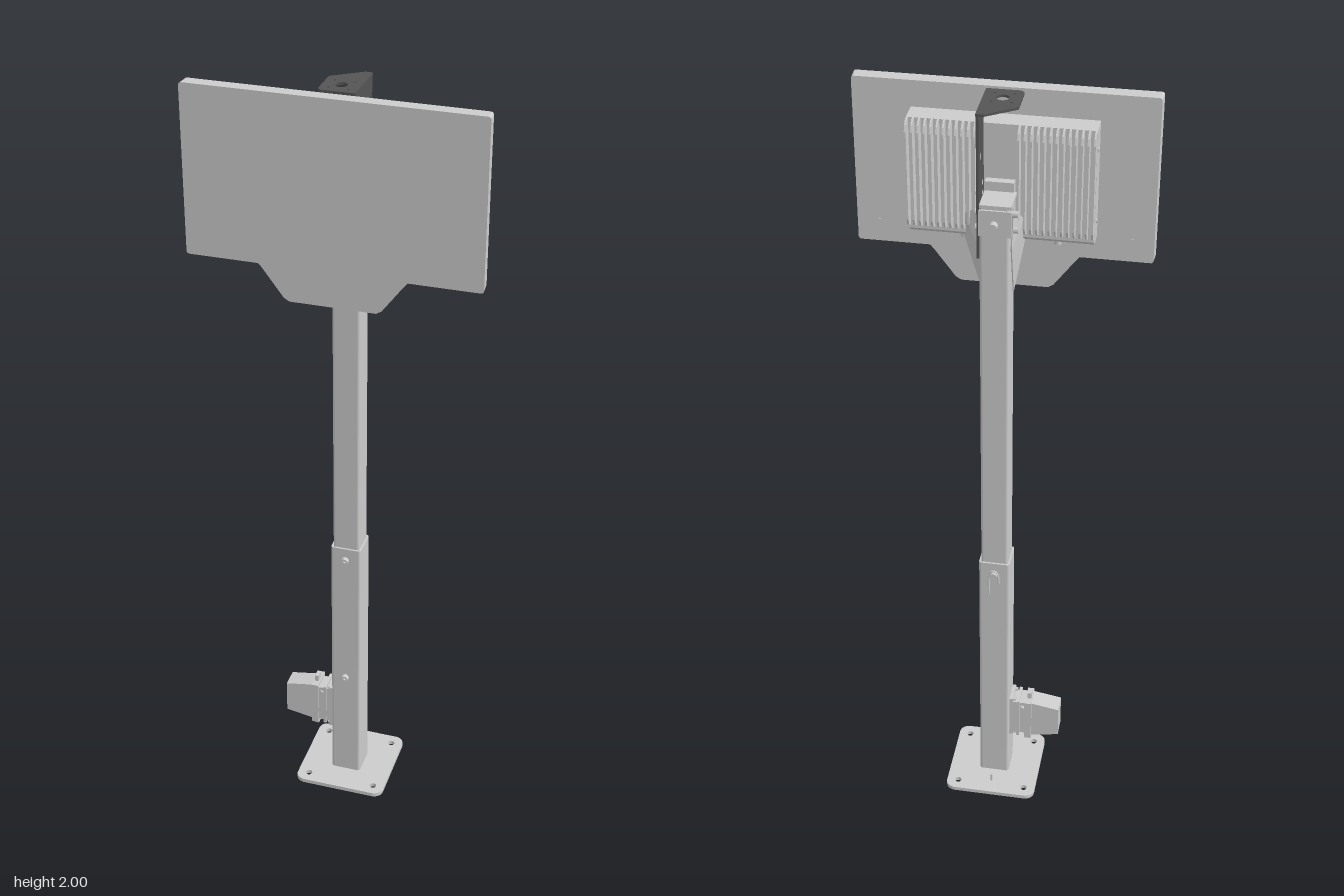
import * as THREE from 'three';
import { ConvexGeometry } from 'three/addons/geometries/ConvexGeometry.js';

const grey = new THREE.MeshStandardMaterial({ color: 0xcccccc });
const dark = new THREE.MeshStandardMaterial({ color: 0x555555 });

const poly = (pts) => new THREE.Shape(pts.map((p) => new THREE.Vector2(p[0], p[1])));

function roundRect(w, h, r, cx = 0, cy = 0) {
  const s = new THREE.Shape();
  const x = w / 2 - r, y = h / 2 - r;
  s.absarc(cx + x, cy + y, r, 0, Math.PI / 2);
  s.absarc(cx - x, cy + y, r, Math.PI / 2, Math.PI);
  s.absarc(cx - x, cy - y, r, Math.PI, Math.PI * 1.5);
  s.absarc(cx + x, cy - y, r, Math.PI * 1.5, Math.PI * 2);
  s.closePath();
  return s;
}

function drill(shape, x, y, r) {
  shape.holes.push(new THREE.Path().absarc(x, y, r, 0, Math.PI * 2, true));
}

const extrude = (shape, depth) =>
  new THREE.ExtrudeGeometry(shape, { depth, bevelEnabled: false, curveSegments: 8 });

// shape drawn in (x, -z), raised from y0 to y1
const upright = (shape, y0, y1) => extrude(shape, y1 - y0).rotateX(-Math.PI / 2).translate(0, y0, 0);
// shape drawn in (z, y), running from x0 to x1
const sideways = (shape, x0, x1) => extrude(shape, x1 - x0).rotateY(-Math.PI / 2).translate(x1, 0, 0);
const box = (x0, x1, y0, y1, z0, z1) => new THREE.BoxGeometry(x1 - x0, y1 - y0, z1 - z0)
  .translate((x0 + x1) / 2, (y0 + y1) / 2, (z0 + z1) / 2);

function rod(r, len, axis, x, y, z, sides = 16) {
  const g = new THREE.CylinderGeometry(r, r, len, sides);
  if (axis === 'x') g.rotateZ(Math.PI / 2);
  if (axis === 'z') g.rotateX(Math.PI / 2);
  return g.translate(x, y, z);
}

const hull = (pts) => new ConvexGeometry(pts.map((p) => new THREE.Vector3(...p)));

export function createModel() {
  const root = new THREE.Group();
  const group = (name) => {
    const g = new THREE.Group();
    g.name = name;
    root.add(g);
    return g;
  };
  const add = (name, geo, parent = root, mat = grey) => {
    const m = new THREE.Mesh(geo, mat);
    m.name = name;
    parent.add(m);
    return m;
  };

  // Base plate with four bolt holes and an earth stud
  const base = roundRect(0.245, 0.245, 0.026, 0, 0.012);
  for (const x of [-0.092, 0.092]) for (const y of [-0.08, 0.104]) drill(base, x, y, 0.009);
  drill(base, 0, 0.012, 0.006);
  add('basePlate', upright(base, 0, 0.011));
  add('earthStud', rod(0.003, 0.024, 'y', 0, 0.022, -0.09, 10));

  // Telescopic square tubes
  const tube = (name, w, y0, y1) => {
    const s = roundRect(w, w, 0.007, 0, 0.007);
    s.holes.push(roundRect(w - 0.01, w - 0.01, 0.003, 0, 0.007));
    add(name, upright(s, y0, y1));
  };
  tube('lowerPost', 0.08, 0.011, 0.75);
  tube('upperPost', 0.07, 0.6, 1.77);

  // Clamp bolts on the post and the hooked locking pin at the back
  const bolts = group('postBolts');
  for (const y of [0.335, 0.718]) {
    add('boltHead', rod(0.01, 0.012, 'z', 0, y, 0.042), bolts);
    add('boltTip', rod(0.005, 0.006, 'z', 0, y, 0.05, 6), bolts);
  }
  add('backBolt', rod(0.01, 0.016, 'z', 0, 0.718, -0.054), bolts);
  const hook = new THREE.CatmullRomCurve3([[0.012, 0.655], [0.012, 0.71], [0.006, 0.728],
    [-0.006, 0.728], [-0.012, 0.71], [-0.012, 0.69]].map((p) => new THREE.Vector3(p[0], p[1], -0.053)));
  add('lockingHook', new THREE.TubeGeometry(hook, 20, 0.003, 6), bolts);

  // Screen with a slightly narrower back, and the skirt below it
  const screen = group('screen');
  const pane = extrude(roundRect(0.71, 0.417, 0.007), 0.033);
  const pos = pane.attributes.position;
  for (let i = 0; i < pos.count; i++) {
    if (pos.getZ(i) < 0.01) pos.setXY(i, pos.getX(i) * 0.994, pos.getY(i) * 0.997);
  }
  pane.computeVertexNormals();
  add('screenPanel', pane.translate(0, 1.7915, 0.1), screen);
  add('screenSkirt', extrude(poly([[-0.185, 1.59], [-0.17, 1.573], [-0.118, 1.503], [-0.105, 1.495],
    [0.105, 1.495], [0.118, 1.503], [0.17, 1.573], [0.185, 1.59]]), 0.033).translate(0, 0, 0.1), screen);
  for (const x of [-0.3, 0.3]) add('panelScrew', rod(0.004, 0.003, 'z', x, 1.64, 0.099, 10), screen);

  // Finned housing behind the screen
  const housing = group('finnedHousing');
  add('housingBody', sideways(poly([[0.1, 1.645], [0.1, 1.935], [0.046, 1.935], [0.046, 1.655], [0.056, 1.645]]),
    -0.218, 0.216), housing);
  const fin = poly([[0.05, 1.66], [0.05, 1.935], [0.036, 1.935], [0.024, 1.925], [0.018, 1.91], [0.018, 1.69],
    [0.024, 1.675]]);
  for (let i = -15; i <= 15; i++) {
    const x = i * 0.0143 - 0.001;
    if (Math.abs(x) > 0.036) add('coolingFin', sideways(fin, x - 0.0022, x + 0.0022), housing);
  }
  for (const x of [0.06, 0.09, -0.13]) {
    add('cableGland', rod(0.009, 0.016, 'y', x, 1.637, 0.075, 12), housing);
  }
  for (const y of [1.7, 1.88]) for (const x of [-0.219, 0.217]) {
    add('housingScrew', rod(0.005, 0.004, 'x', x, y, 0.07, 10), housing);
  }

  // Mount joining post and housing, with flared gussets
  const mount = group('screenMount');
  add('mountBlock', box(-0.034, 0.034, 1.68, 1.8, 0.027, 0.05), mount);
  add('mountCap', box(-0.04, 0.034, 1.77, 1.777, -0.045, 0.03), mount);
  add('mountStrap', box(-0.041, 0.036, 1.7, 1.765, -0.047, -0.042), mount);
  add('mountBolt', rod(0.01, 0.016, 'z', 0, 1.73, -0.055), mount);
  for (const [side, out] of [[1, 0.09], [-1, 0.055]]) {
    const at = (x, y, z) => [[side * x, y, z], [side * (x - 0.005), y, z + 0.003]];
    add('gusset', hull([...at(0.038, 1.53, 0.008), ...at(0.038, 1.66, -0.025),
      ...at(0.038, 1.75, 0), ...at(out, 1.64, 0.064), ...at(out, 1.7, 0.05)]), mount);
    for (const y of [1.7, 1.74]) add('sideBolt', rod(0.008, 0.014, 'x', side * 0.043, y, -0.006, 6), mount);
  }

  // Dark angle bracket: flat top plate and tapering side plate
  const bracket = group('topBracket');
  const top = poly([[-0.048, 0], [-0.048, -0.078], [-0.04, -0.086], [0.04, -0.086], [0.04, 0.05], [0.022, 0.05]]);
  drill(top, -0.005, -0.043, 0.015);
  for (const x of [-0.028, 0.018]) for (const y of [-0.02, -0.066]) drill(top, x, y, 0.003);
  add('bracketTop', upright(top, 1.994, 2), bracket, dark);
  const side = poly([[0.086, 2], [0.086, 1.985], [0.076, 1.975], [0.026, 1.965], [0.019, 1.955], [0.019, 1.79],
    [-0.012, 1.64], [-0.045, 1.64], [-0.045, 2]]);
  drill(side, -0.02, 1.885, 0.008);
  drill(side, 0.003, 1.81, 0.007);
  add('bracketSide', sideways(side, 0.034, 0.04), bracket, dark);
  add('bracketBolt', rod(0.007, 0.016, 'x', 0.042, 1.785, 0.003, 6), bracket);

  // Power inlet on the post's side
  const inlet = group('powerInlet');
  add('inletPlate', box(-0.05, -0.039, 0.145, 0.275, -0.036, 0.022), inlet);
  add('inletNeck', box(-0.085, -0.05, 0.155, 0.265, -0.036, 0.016), inlet);
  add('inletFlange', box(-0.101, -0.083, 0.145, 0.272, -0.044, 0.02), inlet);
  add('inletCollar', box(-0.068, -0.06, 0.148, 0.272, -0.042, 0.02), inlet);
  const cover = [];
  for (const z of [-0.037, 0.014]) {
    cover.push([-0.175, 0.165, z], [-0.175, 0.255, z], [-0.1, 0.152, z], [-0.1, 0.268, z]);
  }
  add('inletCover', hull(cover), inlet);
  for (const y of [0.138, 0.278]) {
    add('latchEar', box(-0.098, -0.088, y - 0.012, y + 0.012, -0.022, 0), inlet);
    for (const z of [-0.028, 0.012]) add('plateScrew', rod(0.005, 0.008, 'x', -0.053, y < 0.2 ? 0.15 : 0.27, z, 10), inlet);
  }
  add('latchBar', rod(0.006, 0.064, 'z', -0.075, 0.25, -0.012, 10), inlet);
  return root;
}
